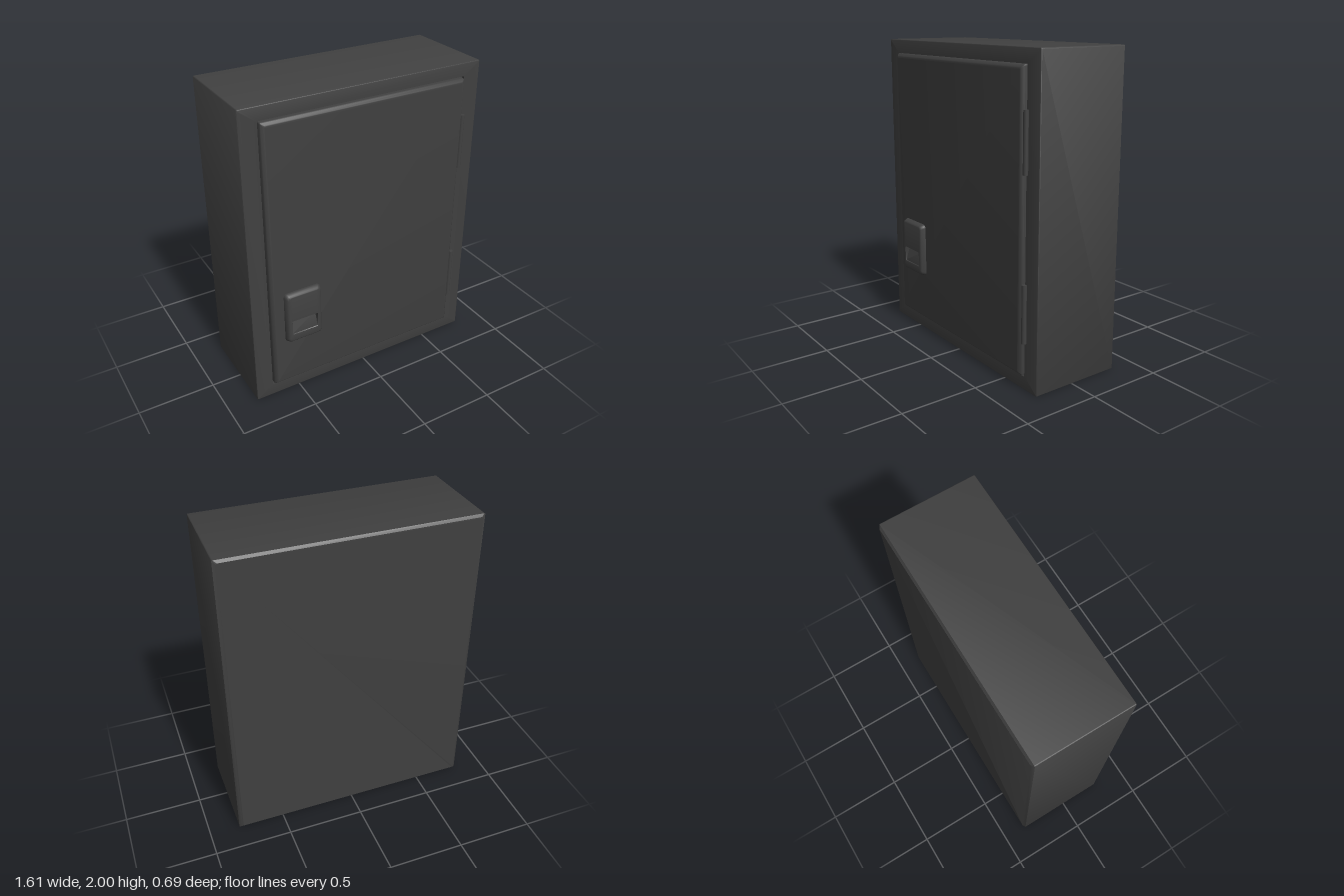
import * as THREE from 'three';
import { toCreasedNormals } from 'three/addons/utils/BufferGeometryUtils.js';

const material = new THREE.MeshStandardMaterial({ color: 0x404040 });

// Rounded rectangle as a counter-clockwise ring; tilt slopes the ring along y.
function ring({ w, h, z, r = 0.008, cy = 0, tilt = 0 }) {
  const steps = 4, points = [];
  for (let c = 0; c < 4; c++) {
    const sx = c === 0 || c === 3 ? 1 : -1, sy = c < 2 ? 1 : -1;
    for (let k = 0; k <= steps; k++) {
      const a = (c + k / steps) * Math.PI / 2;
      const x = sx * (w - r) + r * Math.cos(a);
      const y = sy * (h - r) + r * Math.sin(a);
      points.push(new THREE.Vector3(x, y + cy, z + tilt * y));
    }
  }
  return points;
}

// Closed solid skinned through rings, listed from the back to the front.
function loft(name, levels) {
  const rings = levels.map(ring), n = rings[0].length, pos = [];
  const tri = (...pts) => pts.forEach((p) => pos.push(p.x, p.y, p.z));
  for (let i = 0; i < rings.length - 1; i++) {
    for (let j = 0; j < n; j++) {
      const k = (j + 1) % n, a = rings[i], b = rings[i + 1];
      tri(a[j], a[k], b[k]);
      tri(a[j], b[k], b[j]);
    }
  }
  const first = rings[0], last = rings[rings.length - 1];
  for (let j = 1; j < n - 1; j++) {
    tri(first[0], first[j + 1], first[j]);
    tri(last[0], last[j], last[j + 1]);
  }
  const geometry = new THREE.BufferGeometry();
  geometry.setAttribute('position', new THREE.Float32BufferAttribute(pos, 3));
  const mesh = new THREE.Mesh(toCreasedNormals(geometry, 0.6), material);
  mesh.name = name;
  return mesh;
}

export function createModel() {
  const model = new THREE.Group();
  model.name = 'wallCabinet';

  // Cabinet box with chamfered back edges and a shallow seat for the door
  const body = loft('cabinetBody', [
    { w: 0.785, h: 0.985, z: -0.347 },
    { w: 0.805, h: 1, z: -0.334 },
    { w: 0.805, h: 1, z: 0.274 },
    { w: 0.803, h: 0.998, z: 0.278 },
    { w: 0.799, h: 0.994, z: 0.28 },
    { w: 0.692, h: 0.915, z: 0.28 },
    { w: 0.692, h: 0.915, z: 0.26 },
  ]);
  body.position.y = 1;
  model.add(body);

  // Door panel with a chamfered rim
  const door = loft('door', [
    { w: 0.684, h: 0.907, z: 0.25 },
    { w: 0.684, h: 0.907, z: 0.288 },
    { w: 0.681, h: 0.904, z: 0.295 },
    { w: 0.668, h: 0.892, z: 0.307 },
    { w: 0.66, h: 0.886, z: 0.309 },
  ]);
  door.position.y = 1.001;
  model.add(door);

  // Latch plate with a finger pocket whose floor slopes out towards the bottom
  const latch = loft('latch', [
    { w: 0.125, h: 0.18, z: 0.3, r: 0.025 },
    { w: 0.125, h: 0.18, z: 0.317, r: 0.025 },
    { w: 0.117, h: 0.172, z: 0.338, r: 0.024 },
    { w: 0.111, h: 0.166, z: 0.344, r: 0.022 },
    { w: 0.105, h: 0.16, z: 0.346, r: 0.02 },
    { w: 0.089, h: 0.051, z: 0.346, r: 0.004, cy: -0.066 },
    { w: 0.086, h: 0.048, z: 0.327, r: 0.004, cy: -0.066, tilt: -0.3 },
  ]);
  latch.position.set(-0.475, 0.6, 0);
  model.add(latch);

  // Hinge barrels along the door's left edge
  for (const [name, y] of [['lowerHinge', 0.481], ['upperHinge', 1.485]]) {
    const hinge = new THREE.Mesh(new THREE.CylinderGeometry(0.016, 0.016, 0.362, 16), material);
    hinge.name = name;
    hinge.position.set(0.694, y, 0.288);
    model.add(hinge);
  }
  return model;
}
